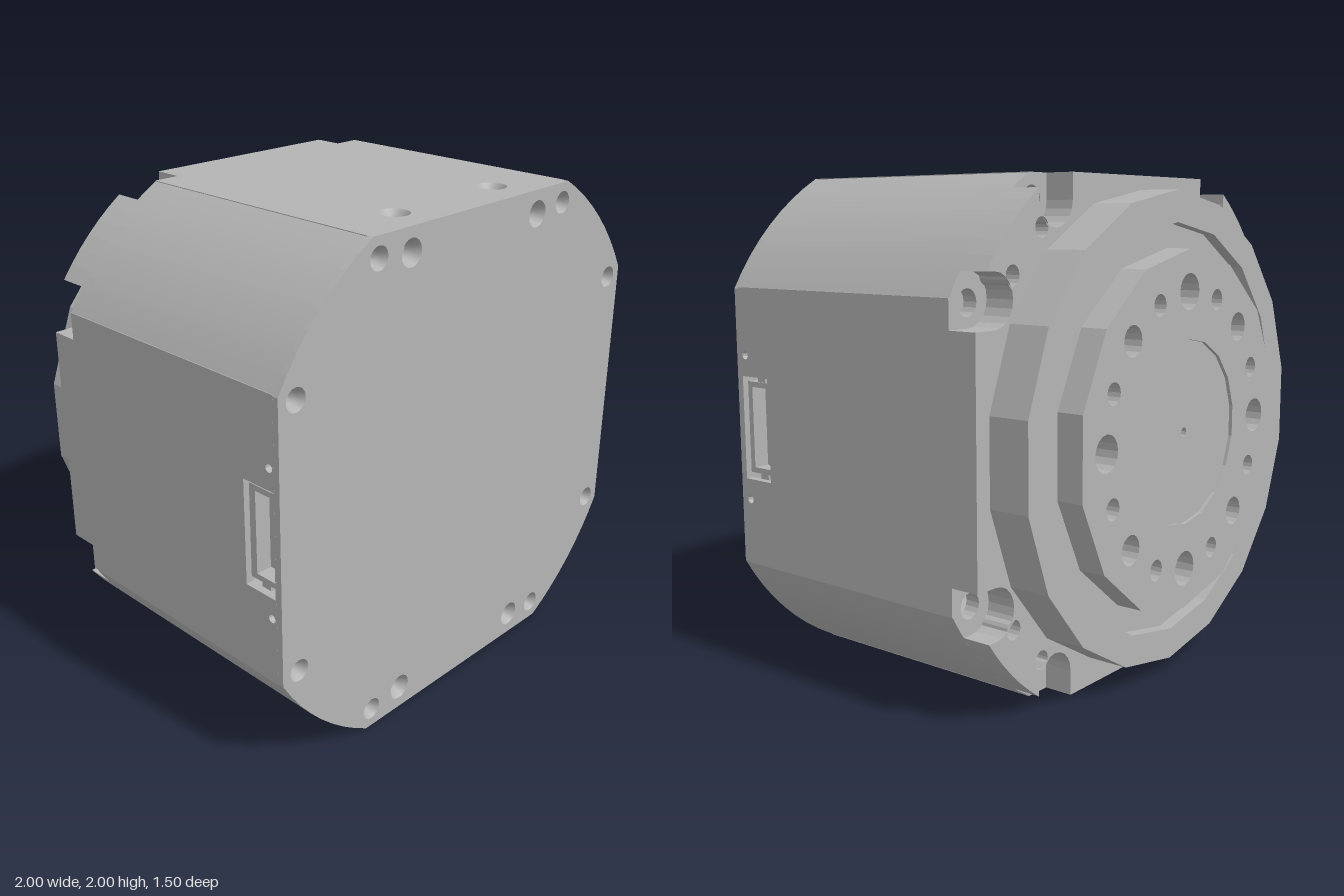
import * as THREE from 'three';
import { toCreasedNormals } from 'three/addons/utils/BufferGeometryUtils.js';

const metal = new THREE.MeshStandardMaterial({ color: 0xb4b4b4, side: THREE.DoubleSide });
metal.name = 'grey metal';

const CORNER_R = 1.146;
const polar = (r, a, cx = 0, cy = 0) => new THREE.Vector2(cx + r * Math.cos(a), cy + r * Math.sin(a));
const rad = THREE.MathUtils.degToRad;

function arc(cx, cy, r, a0, a1, n) {
  return Array.from({ length: n + 1 }, (_, i) => polar(r, a0 + (a1 - a0) * i / n, cx, cy));
}
// regular polygon with one vertex at the top
const polygon = (r, n) => arc(0, 0, r, Math.PI / 2, Math.PI * 2.5, n).slice(0, n);
// repeats a quarter outline around the axis
function fourfold(points) {
  const out = [];
  for (let k = 0; k < 4; k++)
    for (const p of points) out.push(p.clone().rotateAround(new THREE.Vector2(), k * Math.PI / 2));
  return out;
}
function shapeWithHoles(points, holes = []) {
  const s = new THREE.Shape(points);
  for (const h of holes) s.holes.push(new THREE.Path(h));
  return s;
}
const hole = (x, y, r, n = 16) => arc(x, y, r, 0, Math.PI * 2, n).slice(0, n);
const rect = (x0, y0, x1, y1) =>
  [[x0, y0], [x1, y0], [x1, y1], [x0, y1]].map(p => new THREE.Vector2(...p));

function add(parent, name, geometry) {
  const mesh = new THREE.Mesh(geometry, metal);
  mesh.name = name;
  parent.add(mesh);
  return mesh;
}
// flat plate between two z levels
function slab(shape, z0, z1) {
  const g = new THREE.ExtrudeGeometry(shape, { depth: z1 - z0, bevelEnabled: false });
  return g.translate(0, 0, z0);
}
// funnel along z: mouth at z = 0, narrowing inward
function funnel(profile, n = 16) {
  const g = new THREE.LatheGeometry(profile.map(p => new THREE.Vector2(...p)), n).rotateX(Math.PI / 2);
  return toCreasedNormals(g, 0.6);
}

export function createModel() {
  const model = new THREE.Group();
  model.name = 'rotaryActuator';
  const body = new THREE.Group();
  body.name = 'actuatorBody';
  body.position.y = 1;
  model.add(body);

  // outlines: square with arc corners, plain and with screw slots
  const a0 = Math.asin(0.56 / CORNER_R), a1 = Math.PI / 2 - a0;
  const outline = fourfold(arc(0, 0, CORNER_R, a0, a1, 8));
  const b0 = Math.asin(0.655 / CORNER_R);
  const slotted = fourfold([
    new THREE.Vector2(1, 0.455),
    ...arc(0.9, 0.555, 0.1, -Math.PI / 2, -Math.PI * 1.5, 10),
    ...arc(0, 0, CORNER_R, b0, Math.PI / 2 - b0, 6),
    ...arc(0.555, 0.9, 0.1, 0, -Math.PI, 10),
    new THREE.Vector2(0.455, 1),
  ]);

  // front cover with its screw holes
  const frontHoles = [];
  for (const sx of [-1, 1]) for (const sy of [-1, 1])
    frontHoles.push([sx * 0.53, sy * 0.92, 0.045], [sx * 0.92, sy * 0.53, 0.045], [sx * 0.365, sy * 0.905, 0.053]);
  add(body, 'frontCover', slab(shapeWithHoles(outline, frontHoles.map(h => hole(...h))), 0.725, 0.75));
  for (const [x, y, r] of frontHoles) {
    add(body, 'frontScrewHole', funnel([[0, -0.06], [r * 0.55, -0.06], [r * 0.6, -0.035], [r, 0]]))
      .position.set(x, y, 0.75);
  }

  // four sides: top and bottom have countersunk holes, left and right have a connector
  const cornerShape = new THREE.Shape([
    ...arc(0, 0, CORNER_R, a0, a1, 8), ...arc(0, 0, 1.115, a1, a0, 8)]);
  const cornerGeo = toCreasedNormals(slab(cornerShape, -0.4, 0.725), 0.5);
  for (let k = 0; k < 4; k++) {
    const side = new THREE.Group();
    side.name = 'housingSide';
    side.rotation.z = k * Math.PI / 2;
    body.add(side);
    add(side, 'roundedCorner', cornerGeo);
    const connector = k % 2 === 1;
    const holes = connector
      ? [rect(-0.21, -0.72, 0.21, -0.57), hole(-0.295, -0.7, 0.017, 10), hole(0.295, -0.7, 0.017, 10)]
      : [hole(-0.28, -0.59, 0.06), hole(0.28, -0.59, 0.06)];
    const panel = slab(shapeWithHoles(rect(-0.565, -0.725, 0.565, 0.4), holes), 0.97, 1);
    add(side, 'sidePanel', panel.rotateX(-Math.PI / 2));
    if (connector) {
      const frame = slab(shapeWithHoles(rect(-0.187, -0.72, 0.187, -0.57),
        [rect(-0.165, -0.695, 0.165, -0.6)]), 0.9, 0.975);
      add(side, 'connectorFrame', frame.rotateX(-Math.PI / 2));
      add(side, 'connectorFloor', new THREE.BoxGeometry(0.374, 0.02, 0.15)).position.set(0, 0.9, 0.645);
      for (const s of [-1, 1])
        add(side, 'connectorTab', new THREE.BoxGeometry(0.03, 0.06, 0.045)).position.set(s * 0.198, 0.94, 0.642);
    } else {
      for (const s of [-1, 1]) {
        const cone = add(side, 'countersink', funnel([[0.034, -0.1], [0.034, -0.04], [0.06, 0]]));
        cone.rotation.x = -Math.PI / 2;
        cone.position.set(s * 0.28, 1, 0.59);
      }
    }
  }

  // back section with screw slots and small holes at the corners
  const slotHoles = [], cornerHoles = [];
  for (let k = 0; k < 4; k++) {
    const q = k * Math.PI / 2;
    for (const d of [-6.5, 6.5]) cornerHoles.push(polar(1.025, q + rad(45 + d)));
    for (const p of [[0.545, 0.905], [0.905, 0.545]])
      slotHoles.push(new THREE.Vector2(...p).rotateAround(new THREE.Vector2(), q));
  }
  add(body, 'slotFloorPlate',
    slab(shapeWithHoles(outline, slotHoles.map(p => hole(p.x, p.y, 0.05))), -0.4, -0.34));
  add(body, 'slottedBackPlate',
    slab(shapeWithHoles(slotted, cornerHoles.map(p => hole(p.x, p.y, 0.038))), -0.52, -0.4));

  // faceted bearing flange with an annular groove
  add(body, 'bearingFlange', slab(shapeWithHoles(polygon(0.945, 18), [polygon(0.82, 18)]), -0.69, -0.52));
  add(body, 'grooveFloor', slab(shapeWithHoles(polygon(0.84, 18)), -0.64, -0.54));

  // output disc with a ring of bolt holes and a recessed centre
  const boltHoles = [];
  for (let i = 0; i < 16; i++) {
    const r = i % 4 === 0 ? 0.072 : i % 4 === 2 ? 0.06 : 0.043;
    const p = polar(0.555, i * Math.PI / 8);
    boltHoles.push(hole(p.x, p.y, r));
  }
  const disc = shapeWithHoles(polygon(0.72, 14), [polygon(0.37, 18), ...boltHoles]);
  add(body, 'outputDisc', slab(disc, -0.75, -0.64));
  add(body, 'outputCentre', slab(shapeWithHoles(polygon(0.372, 18), [hole(0, 0, 0.02, 10)]), -0.735, -0.64));

  return model;
}
